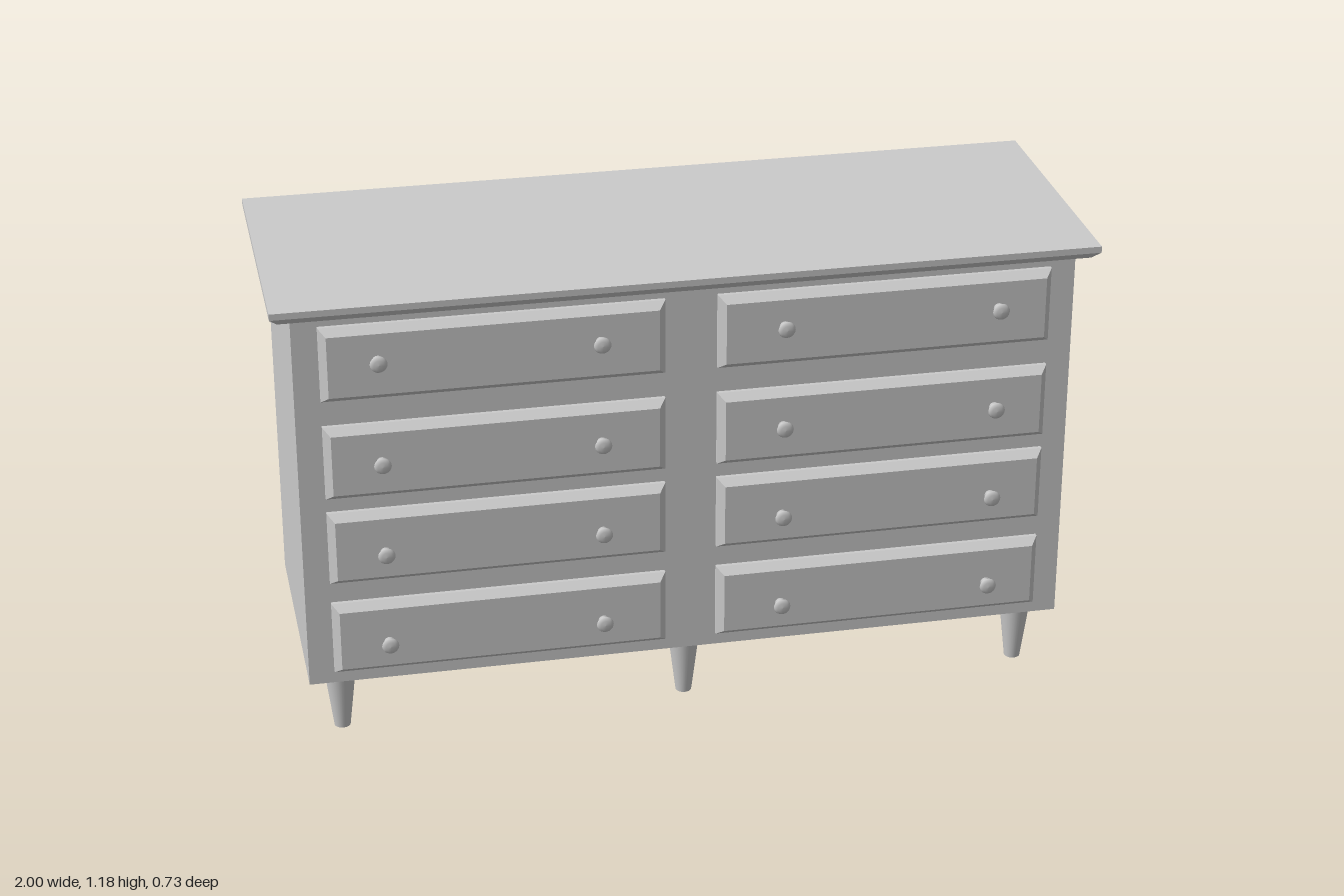
import * as THREE from 'three';

const material = new THREE.MeshStandardMaterial({ color: 0xcccccc });

// Slab from z = 0 to z = depth whose front edges are chamfered by inset from z = step
function chamferedSlab(width, height, depth, step, inset) {
  const box = new THREE.BoxGeometry(width, height, depth, 1, 1, 2);
  const pos = box.attributes.position;
  for (let i = 0; i < pos.count; i++) {
    const z = pos.getZ(i);
    if (z > 0.001) {
      pos.setX(i, pos.getX(i) - Math.sign(pos.getX(i)) * inset);
      pos.setY(i, pos.getY(i) - Math.sign(pos.getY(i)) * inset);
      pos.setZ(i, depth);
    } else {
      pos.setZ(i, z < -0.001 ? 0 : step);
    }
  }
  const flat = box.toNonIndexed();
  flat.computeVertexNormals();
  return flat;
}

export function createModel() {
  const model = new THREE.Group();
  model.name = 'dresser';

  const add = (name, geometry, x, y, z, parent = model) => {
    const mesh = new THREE.Mesh(geometry, material);
    mesh.name = name;
    mesh.position.set(x, y, z);
    parent.add(mesh);
    return mesh;
  };

  // Carcass
  add('body', new THREE.BoxGeometry(1.9, 0.984, 0.626), 0, 0.658, -0.007);

  // Overhanging top, chamfered underneath
  const top = chamferedSlab(2, 0.715, 0.035, 0.016, 0.019).rotateX(Math.PI / 2);
  add('top', top, 0, 1.183, -0.0075);

  // Drawers, each with two knobs
  const front = chamferedSlab(0.824, 0.19, 0.031, 0.01, 0.017);
  const knobProfile = [
    [0.013, 0], [0.009, 0.004], [0.008, 0.01], [0.011, 0.014], [0.018, 0.018],
    [0.021, 0.022], [0.019, 0.026], [0.012, 0.029], [0, 0.03],
  ].map(([r, h]) => new THREE.Vector2(r, h));
  const knob = new THREE.LatheGeometry(knobProfile, 24).rotateX(Math.PI / 2);
  for (const side of [-1, 1]) {
    for (const y of [1.0275, 0.7705, 0.5415, 0.295]) {
      const drawer = new THREE.Group();
      drawer.name = 'drawer';
      drawer.position.set(side * 0.476, y, 0.306);
      model.add(drawer);
      add('drawerFront', front, 0, 0, 0, drawer);
      const knobDrop = { 1.0275: 0.01, 0.7705: 0.002, 0.5415: -0.011, 0.295: -0.012 }[y];
      for (const x of [0.753, 0.223]) {
        add('knob', knob, side * (x - 0.476), knobDrop, 0.031, drawer);
      }
    }
  }

  // Six tapered legs
  const leg = new THREE.CylinderGeometry(0.04, 0.02, 0.166, 32);
  for (const x of [-0.868, 0, 0.868]) {
    for (const z of [0.23, -0.247]) add('leg', leg, x, 0.083, z);
  }

  return model;
}
